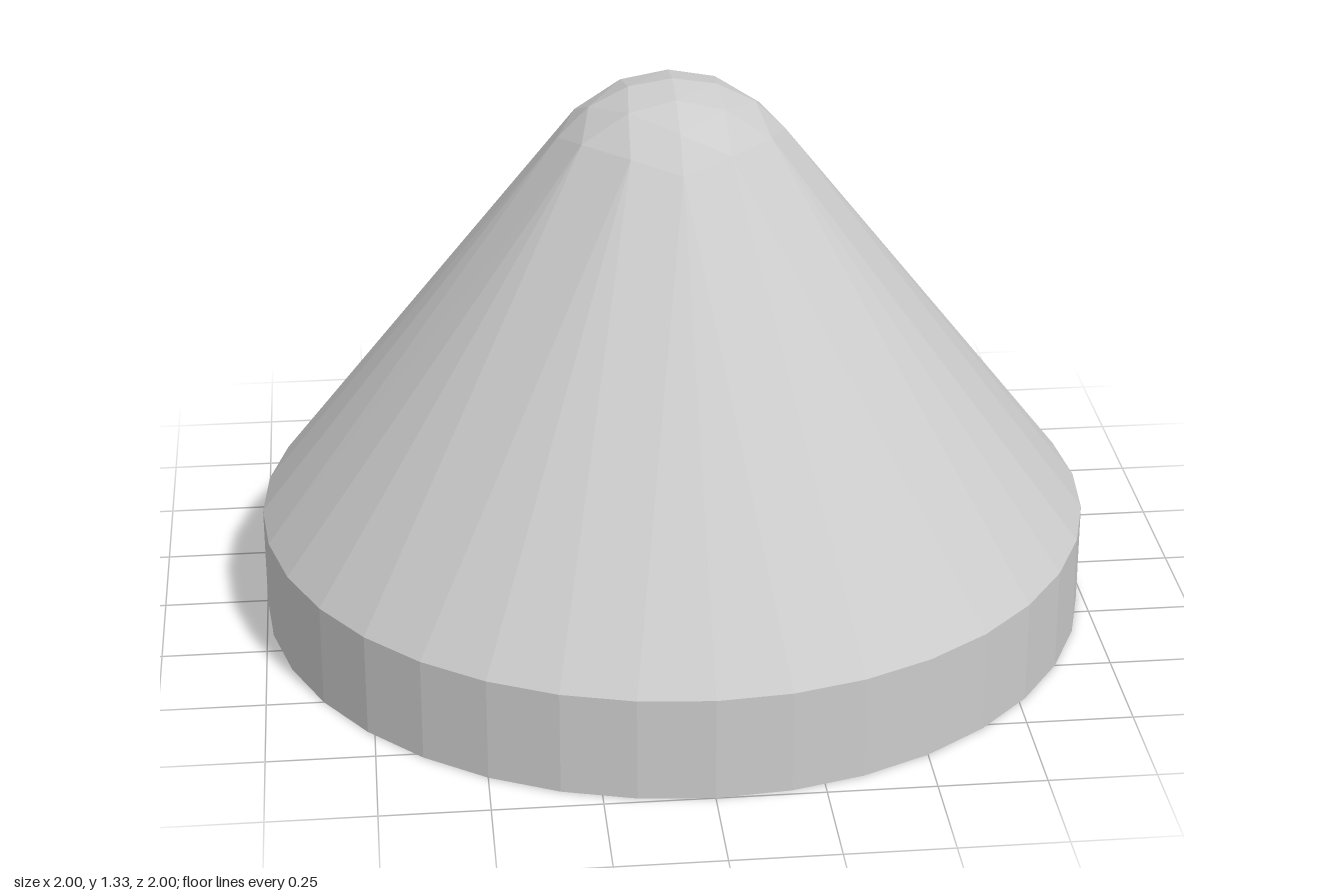
import * as THREE from 'three';
import { ConvexGeometry } from 'three/addons/geometries/ConvexGeometry.js';

const SIDES = 36, RIM_HEIGHT = 0.25;
const TIP_RADIUS = 1 / 3, TIP_CENTRE = 1, TIP_STEPS = 5;

// Two rings of the short cylindrical base
function basePoints() {
  const points = [];
  for (let i = 0; i < SIDES; i++) {
    const a = (i / SIDES) * Math.PI * 2;
    for (const y of [0, RIM_HEIGHT]) points.push(new THREE.Vector3(Math.cos(a), y, Math.sin(a)));
  }
  return points;
}

// Upper half of a ball made from an evenly divided octahedron
function tipPoints() {
  const points = [];
  const bend = (n) => Math.sin((n / TIP_STEPS) * Math.PI / 2);
  for (let i = -TIP_STEPS; i <= TIP_STEPS; i++) {
    const limit = TIP_STEPS - Math.abs(i);
    for (let k = -limit; k <= limit; k++) {
      const j = limit - Math.abs(k);
      const p = new THREE.Vector3(bend(i), bend(j), bend(k)).setLength(TIP_RADIUS);
      p.y += TIP_CENTRE;
      points.push(p);
    }
  }
  return points;
}

export function createModel() {
  const group = new THREE.Group();
  group.name = 'roundedCone';

  // Solid skin stretched over the base disc and the rounded tip
  const material = new THREE.MeshStandardMaterial({ color: 0xcccccc, flatShading: true });
  const body = new THREE.Mesh(new ConvexGeometry([...basePoints(), ...tipPoints()]), material);
  body.name = 'coneBody';
  group.add(body);
  return group;
}
